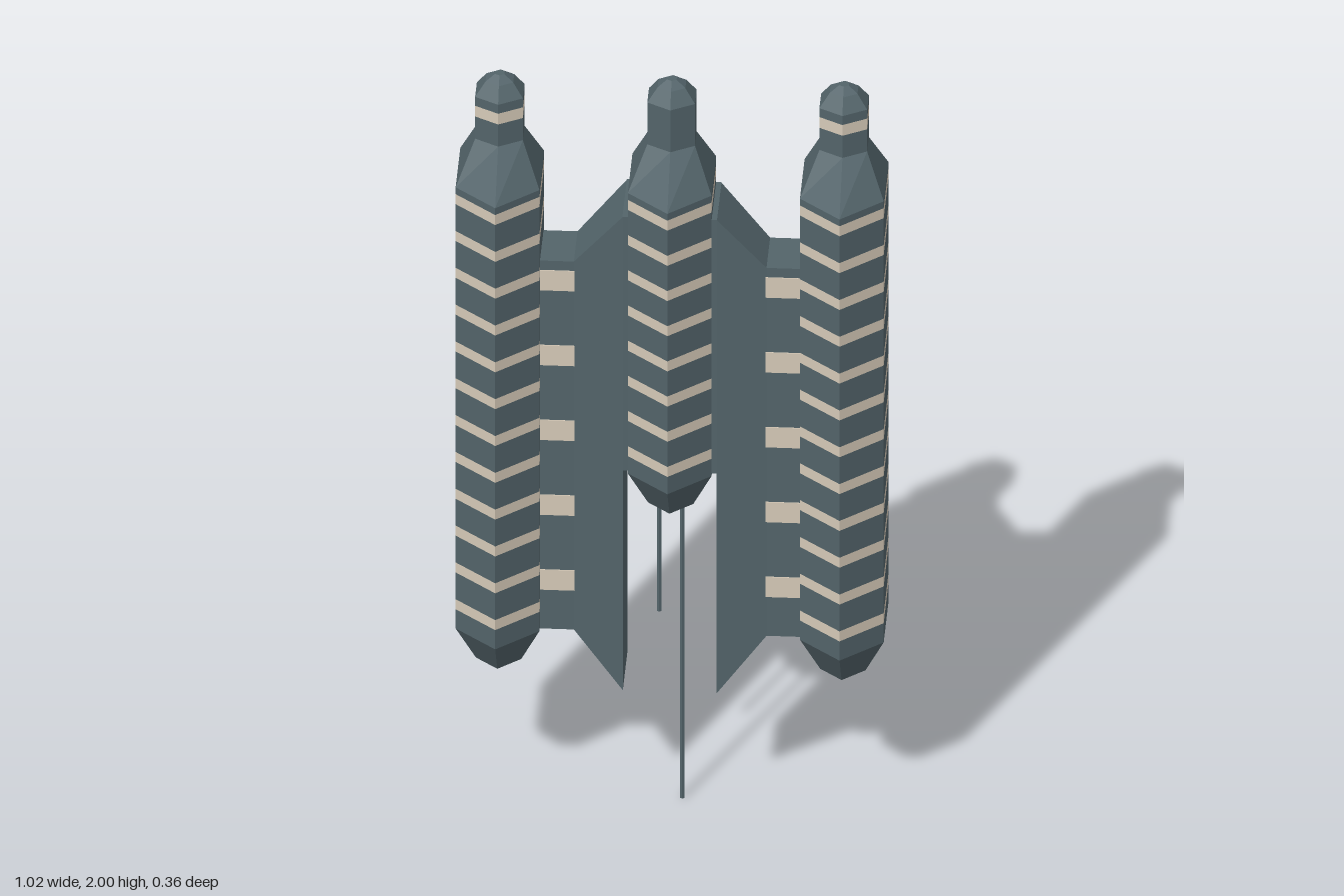
import * as THREE from 'three';

const hull = new THREE.MeshStandardMaterial({ color: 0x53646a, flatShading: true });
hull.name = 'slate hull';
const lights = new THREE.MeshStandardMaterial({ color: 0xd6cab8, flatShading: true });
lights.name = 'beige lights';

// Flat-faced geometry from quads, each [a, b, c, d, materialIndex]
function quadGeometry(quads) {
  const geo = new THREE.BufferGeometry();
  const pos = [];
  for (const [a, b, c, d, m] of quads) {
    geo.addGroup(pos.length / 3, 6, m);
    for (const p of [a, b, c, a, c, d]) pos.push(...p);
  }
  geo.setAttribute('position', new THREE.Float32BufferAttribute(pos, 3));
  geo.computeVertexNormals();
  return geo;
}

// Six corners of a hexagon: points on the z axis, flat sides facing x
const hexRing = (y, hx, hz, corner) => [
  [0, y, hz], [hx, y, corner], [hx, y, -corner],
  [0, y, -hz], [-hx, y, -corner], [-hx, y, corner],
];

// Hexagonal hull lofted through its profile, with flush bands of light
function tower(name, bottom, bandCount, bandStep, neckBand) {
  const body = (y, s = 1) => hexRing(y, 0.1 * s, 0.179 * s, 0.09 * s);
  const neck = (y, s = 1) => hexRing(y, 0.057 * s, 0.066 * s, 0.033 * s);
  const levels = [[body(bottom, 0.54), 0], [body(bottom + 0.105), 0]];
  for (let i = bandCount - 1; i >= 0; i--) {
    const y = 1.697 - i * bandStep;
    levels.push([body(y - 0.014), 1], [body(y + 0.014), 0]);
  }
  levels.push([body(1.73), 0], [neck(1.833), 0]);
  if (neckBand) levels.push([neck(1.895), 1], [neck(1.925), 0]);
  levels.push([neck(1.95), 0], [neck(1.985, 0.58), 0], [neck(2, 0.2), 0]);

  const quads = [];
  for (let l = 0; l < levels.length - 1; l++) {
    const [lo, m] = levels[l], hi = levels[l + 1][0];
    for (let i = 0; i < 6; i++) {
      const j = (i + 1) % 6;
      quads.push([lo[i], lo[j], hi[j], hi[i], m]);
    }
  }
  // End caps
  const t = levels[levels.length - 1][0], b = levels[0][0];
  quads.push([t[0], t[1], t[2], t[3], 0], [t[0], t[3], t[4], t[5], 0]);
  quads.push([b[3], b[2], b[1], b[0], 0], [b[5], b[4], b[3], b[0], 0]);
  const mesh = new THREE.Mesh(quadGeometry(quads), [hull, lights]);
  mesh.name = name;
  return mesh;
}

// Wing joining the middle hull to a side hull on +x
function wing(name) {
  const group = new THREE.Group();
  group.name = name;
  const section = (x, top, bot, z) => [[x, bot, z], [x, bot, -z], [x, top, -z], [x, top, z]];
  const s = [
    section(0.112, 1.66, 0.335, 0.086),
    section(0.23, 1.52, 0.49, 0.069),
    section(0.32, 1.52, 0.49, 0.069),
  ];
  const quads = [[s[0][3], s[0][2], s[0][1], s[0][0], 0], [...s[2], 0]];
  for (let k = 0; k < 2; k++) {
    for (let i = 0; i < 4; i++) {
      const j = (i + 1) % 4;
      // The underside of the outer section is lit
      quads.push([s[k][j], s[k + 1][j], s[k + 1][i], s[k][i], k === 1 && i === 0 ? 1 : 0]);
    }
  }
  const panel = new THREE.Mesh(quadGeometry(quads), [hull, lights]);
  panel.name = 'wingPanel';
  group.add(panel);

  // Joint against the middle hull
  const joint = new THREE.Mesh(new THREE.BoxGeometry(0.03, 0.71, 0.172), hull);
  joint.position.set(0.098, 1.305, 0);
  joint.name = 'wingJoint';
  group.add(joint);

  // Windows on both faces
  for (let i = 0; i < 5; i++) {
    for (const side of [1, -1]) {
      const w = new THREE.Mesh(new THREE.BoxGeometry(0.084, 0.056, 0.004), lights);
      w.position.set(0.27, 1.466 - i * 0.2095, side * 0.0695);
      w.name = 'wingWindow';
      group.add(w);
    }
  }
  return group;
}

// Thin mast hanging below the middle hull
function mast(name, x, z, bottom) {
  const top = 0.86;
  const m = new THREE.Mesh(new THREE.CylinderGeometry(0.006, 0.006, top - bottom, 6), hull);
  m.position.set(x, (top + bottom) / 2, z);
  m.name = name;
  return m;
}

export function createModel() {
  const model = new THREE.Group();
  model.name = 'spaceStation';

  model.add(tower('middleHull', 0.84, 8, 0.0985, false));
  for (const [side, x] of [['left', 0.411], ['right', -0.411]]) {
    const t = tower(side + 'Hull', 0.39, 12, 0.1031, true);
    t.position.x = x;
    const w = wing(side + 'Wing');
    if (x < 0) w.rotation.y = Math.PI;
    model.add(t, w);
  }

  model.add(mast('longMast', 0.026, 0.02, 0), mast('shortMast', -0.03, 0.01, 0.515));
  return model;
}
